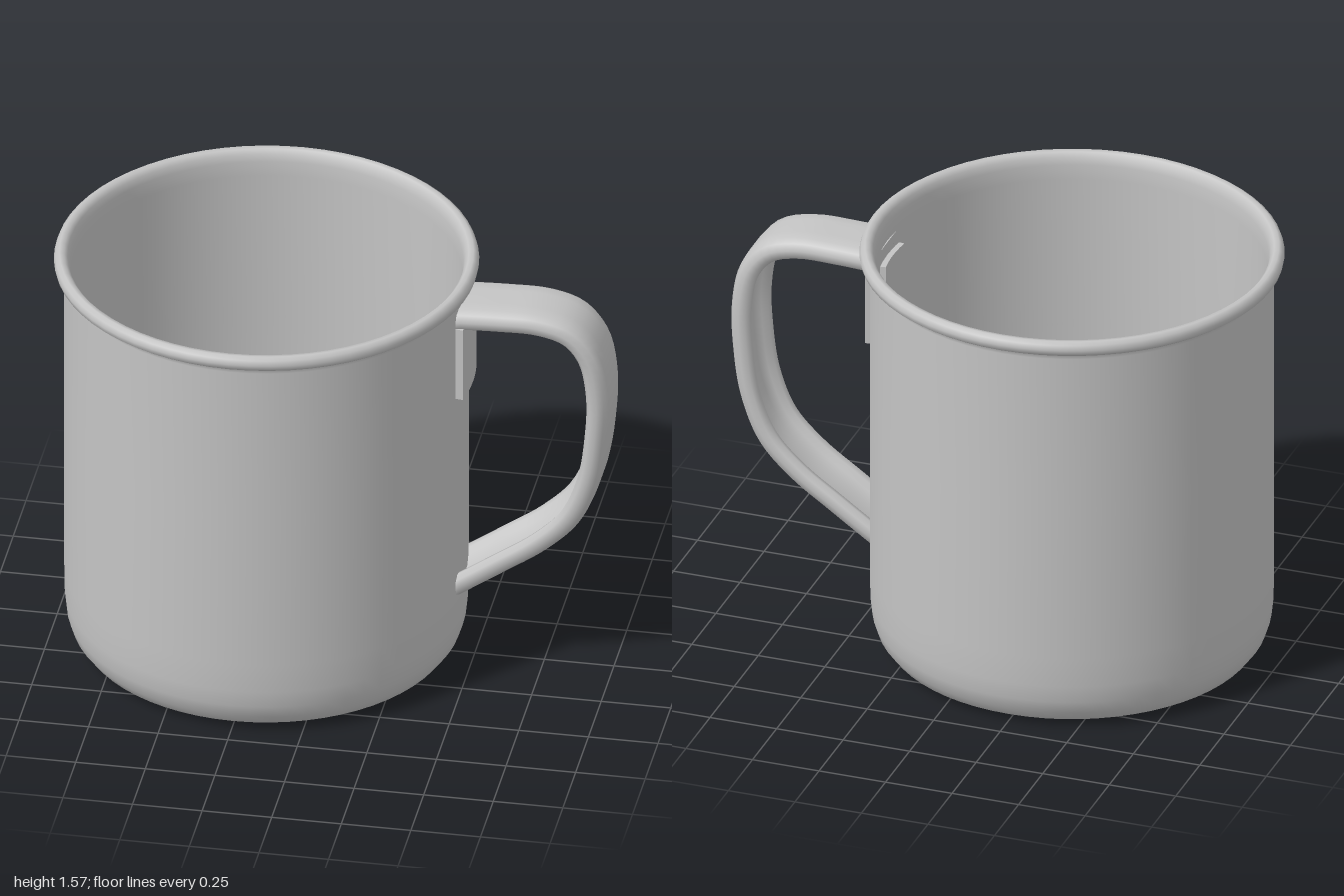
import * as THREE from 'three';

const CENTRE_X = -0.248;

// Rolled-rim enamel cup, profile runs from under the base, over the rim, to the inner floor
function createCup(material) {
  const profile = [
    [0, 0.012], [0.45, 0.012], [0.585, 0.01], [0.625, 0.016], [0.66, 0.035], [0.69, 0.075],
    [0.706, 0.125], [0.713, 0.19], [0.715, 0.3], [0.715, 0.9], [0.715, 1.5], [0.718, 1.526],
    [0.735, 1.524], [0.748, 1.534], [0.752, 1.552], [0.746, 1.57], [0.732, 1.58],
    [0.715, 1.577], [0.703, 1.562], [0.696, 1.535], [0.693, 1.48], [0.692, 0.9], [0.69, 0.2],
    [0.68, 0.13], [0.655, 0.08], [0.61, 0.05], [0.55, 0.038], [0, 0.036],
  ].map(([x, y]) => new THREE.Vector2(x, y));
  const cup = new THREE.Mesh(new THREE.LatheGeometry(profile, 64), material);
  cup.name = 'cup';
  cup.position.x = CENTRE_X;
  return cup;
}

// Channel-shaped strap swept along the handle path
function createHandle(material) {
  const path = new THREE.CatmullRomCurve3([
    [0.44, 1.435], [0.6, 1.442], [0.75, 1.44], [0.86, 1.405], [0.928, 1.32], [0.958, 1.17],
    [0.953, 1.0], [0.925, 0.82], [0.86, 0.665], [0.75, 0.55], [0.6, 0.443], [0.443, 0.335],
  ].map(([x, y]) => new THREE.Vector3(x, y, 0)));
  // Half section: across the width, outward from the path
  const half = [
    [0.05, 0.041], [0.095, 0.038], [0.12, 0.025], [0.131, 0], [0.127, -0.025],
    [0.108, -0.039], [0.085, -0.034], [0.074, -0.012], [0.045, 0.008],
  ];
  const section = [...half, ...half.map(([u, v]) => [-u, v]).reverse()];
  const steps = 56, n = section.length;
  const positions = [], index = [];
  for (let i = 0; i <= steps; i++) {
    const p = path.getPointAt(i / steps), t = path.getTangentAt(i / steps);
    let nx = -t.y, ny = t.x;
    // Cut both ends upright against the cup wall
    if (i === 0 || i === steps) { ny = 1 / ny; nx = 0; }
    for (const [u, v] of section) positions.push(p.x + nx * v, p.y + ny * v, u);
  }
  for (let i = 0; i < steps; i++) {
    for (let j = 0; j < n; j++) {
      const a = i * n + j, b = i * n + (j + 1) % n;
      // The section runs from the outer face over the +z edge
      index.push(a, b, a + n, b, b + n, a + n);
    }
  }
  const geometry = new THREE.BufferGeometry();
  geometry.setAttribute('position', new THREE.Float32BufferAttribute(positions, 3));
  geometry.setIndex(index);
  geometry.computeVertexNormals();
  const handle = new THREE.Mesh(geometry, material);
  handle.name = 'handle';
  return handle;
}

// Curved plate hugging the cup wall at the handle side
function createPlate(name, inner, outer, halfWidth, bottom, top, material) {
  const angle = Math.asin(halfWidth / outer);
  const shape = new THREE.Shape();
  shape.absarc(0, 0, outer, -angle, angle, false);
  shape.absarc(0, 0, inner, angle, -angle, true);
  shape.closePath();
  const geometry = new THREE.ExtrudeGeometry(shape, {
    depth: top - bottom, bevelEnabled: false, curveSegments: 10,
  });
  geometry.rotateX(-Math.PI / 2);
  const plate = new THREE.Mesh(geometry, material);
  plate.name = name;
  plate.position.set(CENTRE_X, bottom, 0);
  return plate;
}

export function createModel() {
  const metal = new THREE.MeshStandardMaterial({ color: 0xc4c4c4 });
  metal.name = 'grey metal';
  const mug = new THREE.Group();
  mug.name = 'mug';
  mug.add(
    createCup(metal),
    createHandle(metal),
    createPlate('handleBracket', 0.705, 0.742, 0.135, 1.125, 1.41, metal),
    createPlate('innerBracket', 0.672, 0.7, 0.1, 1.16, 1.42, metal),
  );
  return mug;
}
